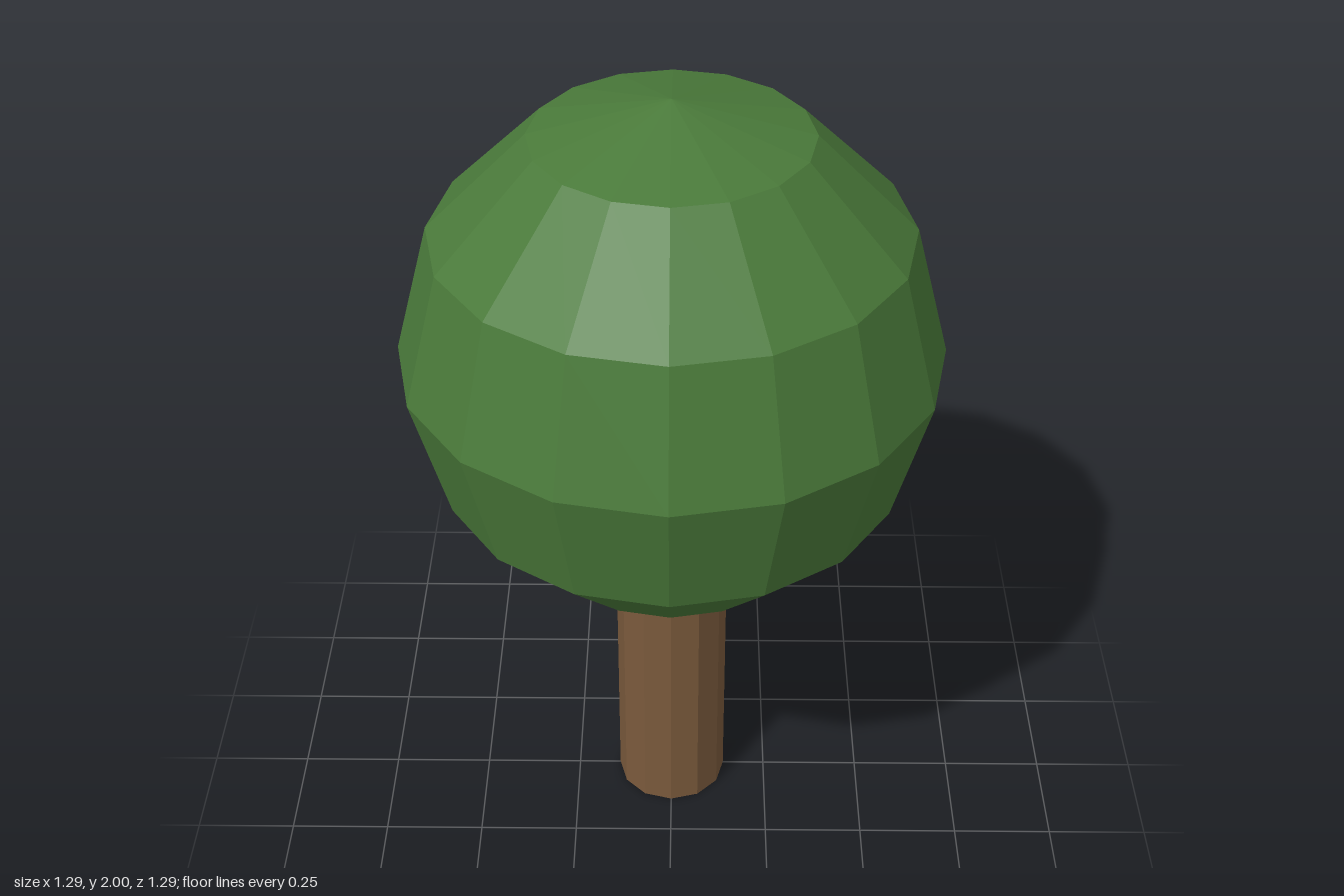
import * as THREE from 'three';

const TRUNK_RADIUS = 0.14;
const TRUNK_HEIGHT = 0.86;
const CROWN_RADIUS = 0.643;

function addPart(group, name, geometry, color, y) {
  const material = new THREE.MeshStandardMaterial({ color, flatShading: true });
  const mesh = new THREE.Mesh(geometry, material);
  mesh.name = name;
  mesh.position.y = y;
  group.add(mesh);
}

export function createModel() {
  const tree = new THREE.Group();
  tree.name = 'tree';

  // Straight twelve-sided trunk, its top sunk into the crown
  const trunk = new THREE.CylinderGeometry(TRUNK_RADIUS, TRUNK_RADIUS, TRUNK_HEIGHT, 12);
  addPart(tree, 'trunk', trunk, 0x7a5a3c, TRUNK_HEIGHT / 2);

  // Faceted round crown
  const crown = new THREE.SphereGeometry(CROWN_RADIUS, 16, 6);
  addPart(tree, 'crown', crown, 0x4a7a3a, 2 - CROWN_RADIUS);

  return tree;
}
